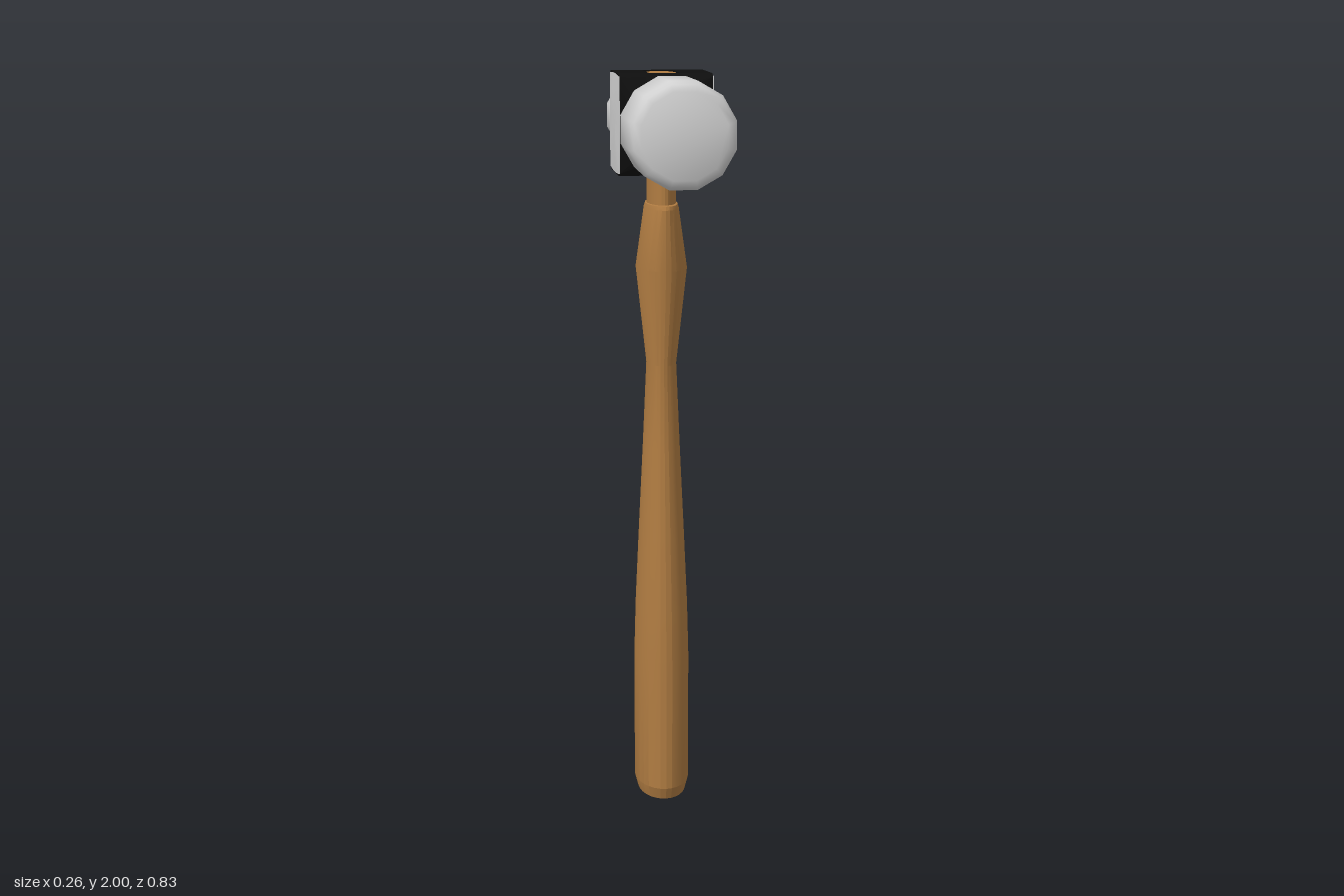
import * as THREE from 'three';
import { toCreasedNormals } from 'three/addons/utils/BufferGeometryUtils.js';

const AXIS_Y = 1.87; // height of the head's axis
const ROUND = 1 / Math.cos(Math.PI / 12), SQUARE = 9, CLIPPED = 1.36;

// 12-point ring; corner limits how far it reaches out from round to square
function headRing([z, rx, ry = rx, corner = ROUND]) {
  return Array.from({ length: 12 }, (_, i) => {
    const a = (i + 0.5) * Math.PI / 6, c = Math.cos(a), s = Math.sin(a);
    const r = Math.min(1 / Math.max(Math.abs(c), Math.abs(s)), corner);
    return [rx * r * c, ry * r * s, z];
  });
}

function ellipseRing([z, rx, ry]) {
  return Array.from({ length: 28 }, (_, i) => {
    const a = i * Math.PI / 14;
    return [rx * Math.cos(a), ry * Math.sin(a), z];
  });
}

// Skin over rings stacked along +z, with flat end caps
function loft(rings, crease = 0.65) {
  const n = rings[0].length, index = [];
  const points = rings.flat();
  for (let k = 0; k < rings.length - 1; k++) {
    for (let i = 0; i < n; i++) {
      const a = k * n + i, b = k * n + (i + 1) % n;
      index.push(a, b, b + n, a, b + n, a + n);
    }
  }
  const last = (rings.length - 1) * n;
  for (let i = 1; i < n - 1; i++) {
    index.push(0, i + 1, i, last, last + i, last + i + 1);
  }
  const g = new THREE.BufferGeometry();
  g.setAttribute('position', new THREE.Float32BufferAttribute(points.flat(), 3));
  g.setIndex(index);
  return toCreasedNormals(g, crease);
}

export function createModel() {
  const model = new THREE.Group();
  model.name = 'ballPeenHammer';
  const material = (name, color) => {
    const m = new THREE.MeshStandardMaterial({ color });
    m.name = name;
    return m;
  };
  const steel = material('polished steel', 0xd2d2d2);
  const black = material('black iron', 0x0e0e0e);
  const wood = material('wood', 0xb07c42);

  const head = new THREE.Group();
  head.name = 'head';
  head.position.y = AXIS_Y;
  model.add(head);
  const add = (parent, name, geometry, mat) => {
    const mesh = new THREE.Mesh(geometry, mat);
    mesh.name = name;
    parent.add(mesh);
    return mesh;
  };

  // Striking face and ball end
  add(head, 'strikingFace', loft([
    [0.155, 0.122], [0.166, 0.13], [0.385, 0.13], [0.405, 0.122], [0.414, 0.105],
  ].map(headRing), 0.9), steel);
  add(head, 'ballPeen', loft([
    [-0.415, 0.04], [-0.395, 0.084], [-0.365, 0.103], [-0.335, 0.116], [-0.3, 0.109],
  ].map(headRing), 0.9), steel);

  // Necks blending from round to the square block
  add(head, 'frontNeck', loft([
    [0.035, 0.122, 0.13, SQUARE], [0.06, 0.12, 0.122, SQUARE],
    [0.1, 0.08], [0.14, 0.08], [0.155, 0.118],
  ].map(headRing)), black);
  add(head, 'backNeck', loft([
    [-0.3, 0.108], [-0.282, 0.08], [-0.262, 0.063], [-0.22, 0.063],
    [-0.18, 0.12, 0.122, SQUARE], [-0.155, 0.122, 0.13, SQUARE],
  ].map(headRing)), black);

  // Centre block with a slot through it for the handle (shape y is -z)
  const rect = (C, x, z0, z1) => new C([
    new THREE.Vector2(-x, -z1), new THREE.Vector2(x, -z1),
    new THREE.Vector2(x, -z0), new THREE.Vector2(-x, -z0),
  ]);
  const outline = rect(THREE.Shape, 0.122, -0.155, 0.035);
  outline.holes.push(rect(THREE.Path, 0.04, -0.145, 0.02));
  const block = new THREE.ExtrudeGeometry(outline, { depth: 0.26, bevelEnabled: false });
  block.rotateX(-Math.PI / 2).translate(0, -0.13, 0);
  add(head, 'eyeBlock', block, black);

  // Slightly domed cheeks on both sides
  for (const side of [1, -1]) {
    const cheek = loft([
      [0.119, 0.12, 0.128, CLIPPED], [0.1225, 0.12, 0.128, CLIPPED], [0.127, 0.06, 0.065, SQUARE],
    ].map(headRing));
    cheek.rotateY(side * Math.PI / 2).translate(0, 0, -0.06);
    add(head, side > 0 ? 'leftCheek' : 'rightCheek', cheek, steel);
  }

  // Handle: height, half width, half depth
  const handle = loft([
    [0, 0.066, 0.103], [0.035, 0.075, 0.116], [0.4, 0.075, 0.115], [0.55, 0.071, 0.109],
    [0.75, 0.062, 0.096], [1, 0.05, 0.077], [1.23, 0.04, 0.063], [1.49, 0.068, 0.106],
    [1.65, 0.045, 0.104], [1.66, 0.042, 0.1], [1.661, 0.038, 0.08], [1.998, 0.038, 0.08],
  ].map(ellipseRing), 0.3);
  handle.rotateX(-Math.PI / 2).translate(0, 0, -0.054);
  add(model, 'handle', handle, wood);

  return model;
}
